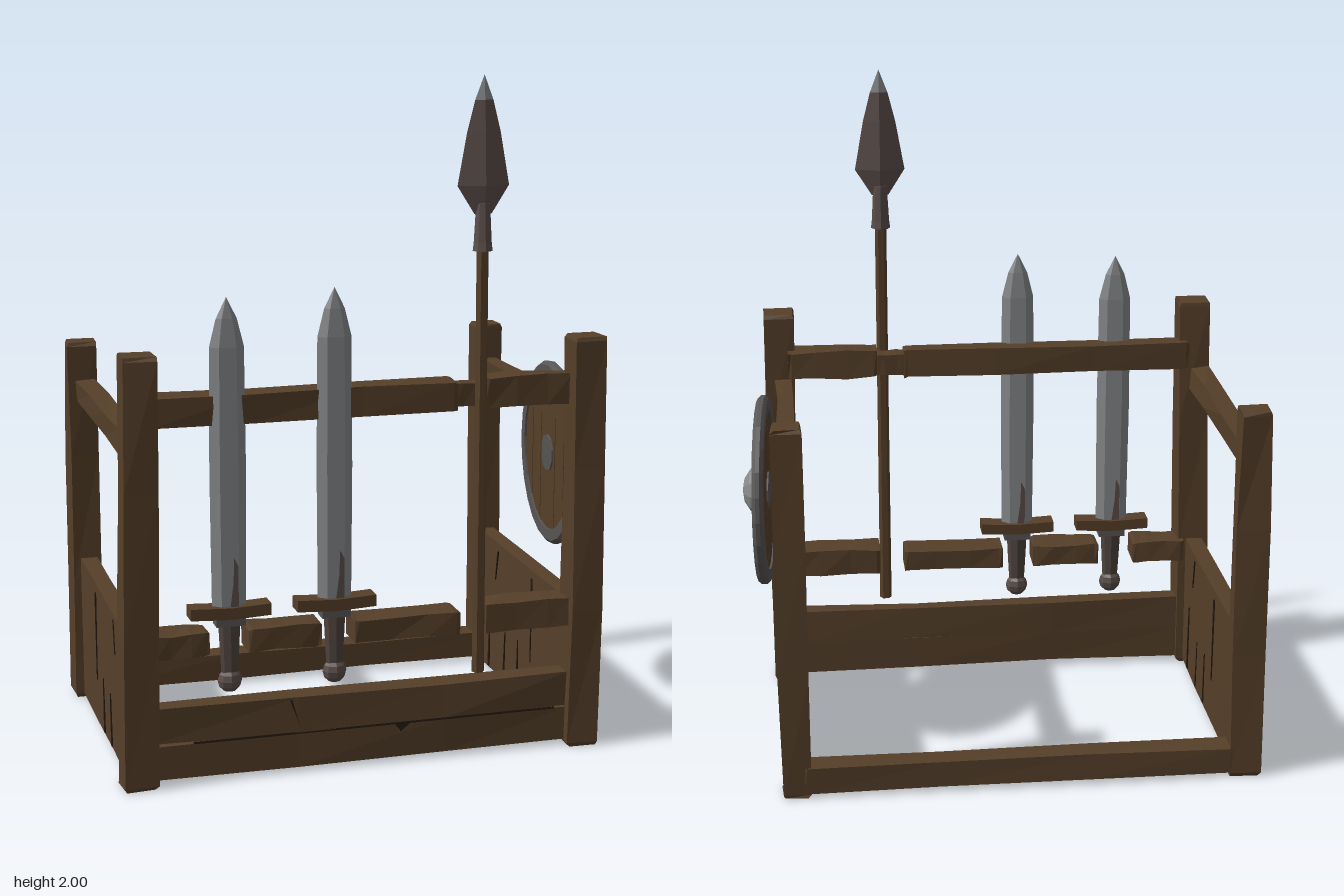
import * as THREE from 'three';

const mat = (name, hex) => {
  const m = new THREE.MeshStandardMaterial({ color: hex });
  m.name = name;
  return m;
};

export function createModel() {
  const wood = mat('wood', 0x553f29);
  const crack = mat('dark crack', 0x261b11);
  const steel = mat('blade steel', 0x86888a);
  const iron = mat('rim iron', 0x585654);
  const rusty = mat('rusty iron', 0x5a4d49);
  const grip = mat('grip', 0x4f443e);

  const root = new THREE.Group();
  root.name = 'weaponRack';

  // Faceted mesh
  const add = (parent, name, geo, material) => {
    const g = geo.index ? geo.toNonIndexed() : geo;
    g.computeVertexNormals();
    const mesh = new THREE.Mesh(g, material);
    mesh.name = name;
    parent.add(mesh);
    return mesh;
  };

  // Repeatable small offset for a position, so shared corners stay joined
  const hash = (a, b, c, k) => {
    const s = Math.sin(a * 127.1 + b * 311.7 + c * 74.7 + k * 53.3) * 43758.5453;
    return (s - Math.floor(s)) * 2 - 1;
  };

  // Hewn timber: box with worn ends and wavering sides; lean shifts the far (+) end
  const beam = (name, [x0, x1], [y0, y1], [z0, z1], { wob = 0.005, lean = [0, 0, 0], worn = 0.9 } = {}) => {
    const size = [x1 - x0, y1 - y0, z1 - z0];
    const mid = [(x0 + x1) / 2, (y0 + y1) / 2, (z0 + z1) / 2];
    const axis = size.indexOf(Math.max(...size));
    const seg = [1, 1, 1];
    seg[axis] = 5;
    const g = new THREE.BoxGeometry(1, 1, 1, ...seg);
    const stops = [-0.5, -0.5 + 0.012 / size[axis], -0.16, 0.19, 0.5 - 0.012 / size[axis], 0.5];
    const p = g.attributes.position;
    for (let i = 0; i < p.count; i++) {
      const v = [p.getX(i), p.getY(i), p.getZ(i)];
      const ring = Math.round((v[axis] + 0.5) * 5);
      const end = ring === 0 || ring === 5;
      const out = v.map((c, k) => {
        if (k === axis) return mid[k] + stops[ring] * size[k];
        const w = hash(v[0] + mid[0], v[1] + mid[1], v[2] + mid[2], k) * wob;
        return mid[k] + c * size[k] * (end ? worn : 1) + w + lean[k] * (stops[ring] + 0.5);
      });
      p.setXYZ(i, ...out);
    }
    return add(root, name, g, wood);
  };

  // Corner posts
  beam('frontLeftPost', [0.588, 0.682], [0, 1.245], [0.368, 0.464]);
  beam('frontRightPost', [-0.758, -0.66], [0, 1.25], [0.368, 0.464], { lean: [0.02, 0, -0.008] });
  beam('backLeftPost', [0.588, 0.672], [0, 1.145], [-0.466, -0.384]);
  beam('backRightPost', [-0.758, -0.664], [0, 1.15], [-0.466, -0.384]);

  // Front top rail, cut back where the spear leans
  beam('topRail', [-0.67, 0.245], [1.04, 1.125], [0.335, 0.41], { worn: 0.97 });
  beam('topRailNotch', [0.23, 0.34], [1.05, 1.115], [0.338, 0.395], { wob: 0.002 });
  beam('topRailEnd', [0.33, 0.61], [1.045, 1.13], [0.335, 0.41], { worn: 0.97 });

  // Lower weapon shelf in blocks, with gaps for grips and shaft
  [[-0.67, -0.5], [-0.385, -0.17], [-0.07, 0.25], [0.33, 0.61]].forEach((x, i) =>
    beam('shelfBlock' + (i + 1), x, [0.378 - (i === 3 ? 0.005 : 0), 0.445 + (i === 3 ? 0.012 : 0)], [0.34, 0.44], { wob: 0.004, worn: 0.95 }));

  // Front boards and back sill
  beam('lowerFrontBoard', [-0.68, 0.61], [0.018, 0.12], [0.385, 0.435], { wob: 0.004 });
  beam('upperFrontBoard', [-0.68, 0.61], [0.123, 0.228], [0.375, 0.435], { wob: 0.006 });
  beam('backSill', [-0.68, 0.61], [0.015, 0.095], [-0.466, -0.392], { wob: 0.003 });

  // Tapering split, drawn as a thin triangle from base to tip
  const split = (parent, pts) => {
    const s = new THREE.Shape(pts.map(([x, y]) => new THREE.Vector2(x, y)));
    return add(parent, 'split', new THREE.ExtrudeGeometry(s, { depth: 0.004, bevelEnabled: false }), crack);
  };

  // Side rails and boarded side panels
  for (const side of [1, -1]) {
    const x = side > 0 ? [0.597, 0.65] : [-0.735, -0.68];
    const label = side > 0 ? 'left' : 'right';
    beam(label + 'SideRail', x, [0.97, 1.035], [-0.4, 0.385], { wob: 0.005 });
    const panelX = [x[0] + 0.004, x[1]];
    const panel = beam(label + 'SidePanel', panelX, [0.012, 0.45], [-0.4, 0.385], { wob: 0.002, worn: 1 });
    const p = panel.geometry.attributes.position;
    for (let i = 0; i < p.count; i++) if (p.getY(i) > 0.3) p.setY(i, 0.452 - p.getZ(i) * 0.02);
    panel.geometry.computeVertexNormals();
    for (const face of [1, -1]) {
      const marks = new THREE.Group();
      marks.name = label + 'PanelSplits';
      marks.position.x = face > 0 ? panelX[1] : panelX[0];
      marks.rotation.y = face * Math.PI / 2;
      const f = face * side;
      split(marks, [[-0.117 * f, 0.425], [-0.106 * f, 0.425], [-0.107 * f, 0.15]].sort((a, b) => b[1] - a[1] || a[0] - b[0]).reverse());
      split(marks, [[0.002 * f, 0.02], [0.014 * f, 0.02], [0.004 * f, 0.19]]);
      split(marks, [[0.125 * f, 0.02], [0.136 * f, 0.02], [0.12 * f, 0.18]]);
      split(marks, [[0.265 * f, 0.02], [0.277 * f, 0.02], [0.262 * f, 0.24]]);
      split(marks, [[0.19 * f, 0.43], [0.199 * f, 0.43], [0.215 * f, 0.33]]);
      root.add(marks);
    }
  }

  // Splits on the front boards
  const frontSplits = new THREE.Group();
  frontSplits.name = 'frontBoardSplits';
  frontSplits.position.z = 0.435;
  split(frontSplits, [[-0.55, 0.118], [0.55, 0.118], [0.55, 0.124], [-0.55, 0.124]]);
  split(frontSplits, [[-0.265, 0.222], [-0.259, 0.222], [-0.235, 0.14]]);
  split(frontSplits, [[0.05, 0.12], [0.1, 0.12], [0.07, 0.095]]);
  root.add(frontSplits);

  // Flattened turned form with points on +x and -x
  const turned = (points, sides, flat) => {
    const g = new THREE.LatheGeometry(points.map(([r, y]) => new THREE.Vector2(r, y)), sides, Math.PI / 2);
    return g.scale(1, 1, flat);
  };

  // Swords, hanging point up from the guard
  const sword = (name, x, tip) => {
    const s = new THREE.Group();
    s.name = name;
    s.position.set(x, 0, 0.405);
    add(s, 'blade', turned([[0, 0.5], [0.05, 0.5], [0.053, 0.9], [0.05, tip - 0.14], [0.03, tip - 0.06], [0, tip]], 6, 0.4), steel);
    const guard = new THREE.BoxGeometry(0.235, 0.034, 0.06, 4, 1, 1);
    const p = guard.attributes.position;
    for (let i = 0; i < p.count; i++) p.setY(i, p.getY(i) + 0.494 + Math.abs(p.getX(i)) * 0.05);
    add(s, 'guard', guard, wood);
    add(s, 'collar', new THREE.BoxGeometry(0.085, 0.024, 0.05).translate(0, 0.468, 0), iron);
    add(s, 'handle', turned([[0, 0.3], [0.024, 0.3], [0.029, 0.39], [0.033, 0.47], [0, 0.47]], 8, 0.75), grip);
    add(s, 'pommel', new THREE.SphereGeometry(0.036, 8, 6).scale(1, 1, 0.85).translate(0, 0.29, 0), rusty);
    // Rust near the guard on both faces
    for (const f of [1, -1]) {
      const patch = new THREE.Shape([[0, 0.512], [0.024, 0.512], [0.024, 0.63], [0.012, 0.655], [0.009, 0.58]].map(a => new THREE.Vector2(...a)));
      const m = add(s, 'rustPatch', new THREE.ExtrudeGeometry(patch, { depth: 0.002, bevelEnabled: false }), rusty);
      m.rotation.y = f > 0 ? 0 : Math.PI;
      m.position.z = f * 0.0175;
    }
    root.add(s);
  };
  sword('outerSword', -0.435, 1.4);
  sword('innerSword', -0.123, 1.415);

  // Spear
  const spear = new THREE.Group();
  spear.name = 'spear';
  spear.position.set(0.31, 0, 0.43);
  add(spear, 'shaft', turned([[0, 0.255], [0.019, 0.255], [0.018, 0.9], [0.018, 1.52], [0, 1.52]], 6, 1), wood);
  add(spear, 'socket', turned([[0, 1.505], [0.03, 1.505], [0.027, 1.53], [0.021, 1.64], [0, 1.64]], 8, 0.95), rusty);
  add(spear, 'head', turned([[0, 1.6], [0.026, 1.61], [0.077, 1.69], [0.05, 1.84], [0.027, 1.93]], 4, 0.32), rusty);
  add(spear, 'headTip', turned([[0.027, 1.93], [0, 2]], 4, 0.32), steel);
  spear.rotation.z = 0.002;
  root.add(spear);

  // Round shield on the left side, facing outward
  const shield = new THREE.Group();
  shield.name = 'shield';
  shield.position.set(0.695, 0.8, 0.008);
  shield.rotation.y = Math.PI / 2 - 0.08;
  const R = 0.262;
  const cuts = [-R, -0.165, -0.072, 0.075, 0.165, R];
  for (let i = 0; i < 5; i++) {
    const a = cuts[i] + 0.003, b = cuts[i + 1] - 0.003, pts = [];
    for (let k = 0; k <= 8; k++) {
      const u = a + (b - a) * k / 8;
      pts.push([u, Math.sqrt(R * R - u * u)]);
    }
    const outline = [...pts.map(([u, v]) => [u, -v]), ...pts.reverse()];
    const shape = new THREE.Shape(outline.map(q => new THREE.Vector2(...q)));
    add(shield, 'shieldBoard', new THREE.ExtrudeGeometry(shape, { depth: 0.02, bevelEnabled: false }).translate(0, 0, -0.01), wood);
  }
  add(shield, 'boardGaps', new THREE.CylinderGeometry(0.255, 0.255, 0.012, 24).rotateX(Math.PI / 2), crack);
  const rim = [[0.242, -0.016], [0.278, -0.016], [0.288, -0.006], [0.288, 0.006], [0.278, 0.017], [0.242, 0.017], [0.242, -0.016]];
  add(shield, 'rim', turned(rim, 24, 1).rotateX(Math.PI / 2), iron);
  add(shield, 'boss', turned([[0.085, 0.008], [0.08, 0.022], [0.064, 0.042], [0.036, 0.06], [0, 0.066]], 10, 1).rotateX(Math.PI / 2), steel);
  add(shield, 'backPlate', new THREE.CylinderGeometry(0.058, 0.058, 0.006, 10).rotateX(Math.PI / 2).translate(0, 0, -0.012), iron);
  split(shield, [[-0.1, -0.22], [-0.094, -0.22], [-0.1, -0.1]]).position.z = 0.008;
  split(shield, [[0.11, 0.2], [0.116, 0.1], [0.117, 0.2]]).position.z = 0.008;
  root.add(shield);

  return root;
}
